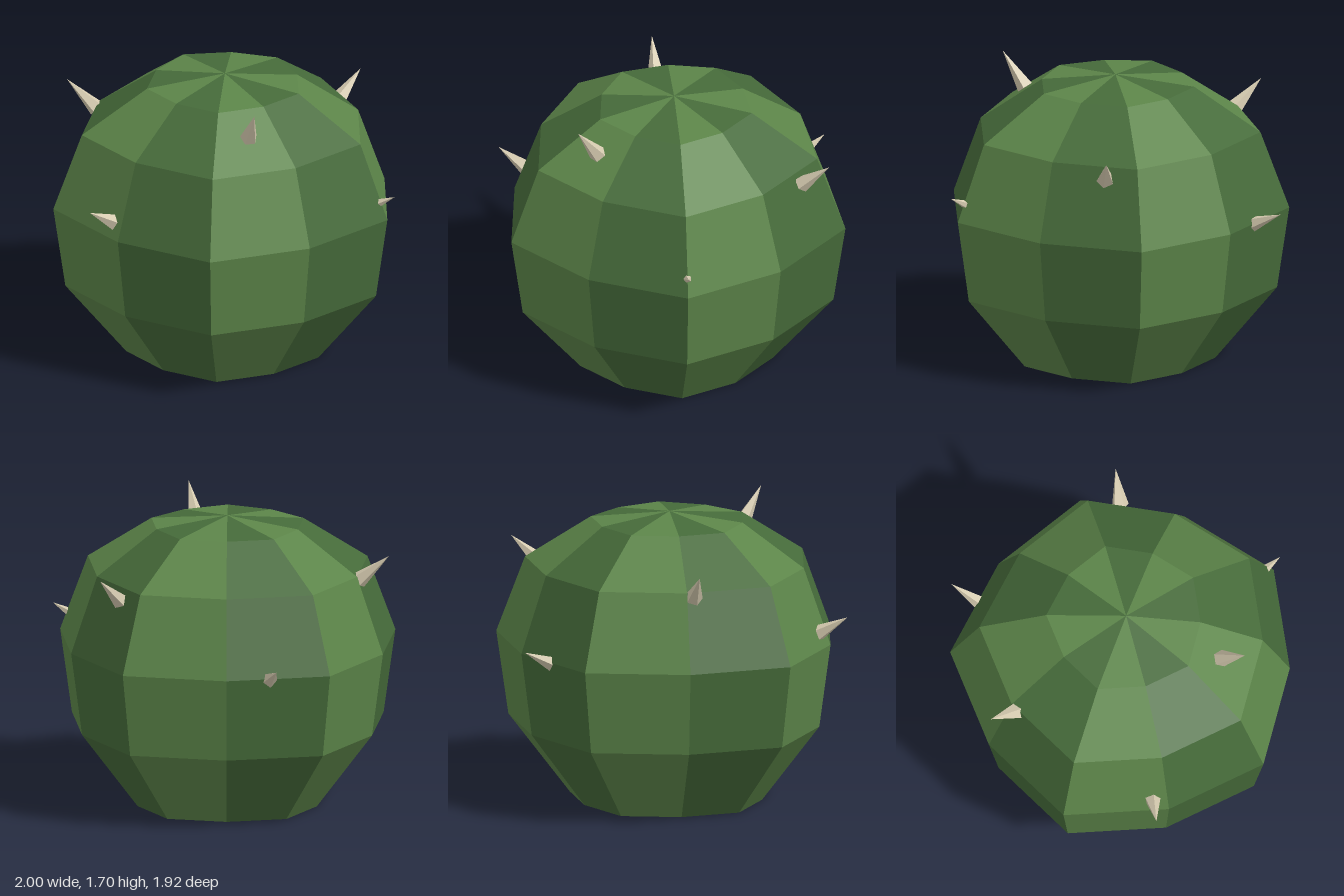
import * as THREE from 'three';

const material = (name, color) => {
  const m = new THREE.MeshStandardMaterial({ color, flatShading: true });
  m.name = name;
  return m;
};

// Ribbed body: ten-sided lathe whose alternate corners are pulled inwards
function createBody(lightGreen, darkGreen) {
  const profile = [
    [0, 0], [0.575, 0], [0.93, 0.44], [1, 0.92], [0.834, 1.36], [0.454, 1.61], [0, 1.66],
  ].map(([r, y]) => new THREE.Vector2(r, y));
  const sides = 10;
  const geometry = new THREE.LatheGeometry(profile, sides, Math.PI / 2);
  const pos = geometry.attributes.position;
  for (let i = 0; i < pos.count; i++) {
    const corner = Math.floor(i / profile.length);
    const k = corner % 2 ? 0.93 : 1;
    pos.setXYZ(i, pos.getX(i) * k, pos.getY(i), pos.getZ(i) * k);
  }
  // Stripes alternate by sector; the underside is one colour
  const perSector = 6 * (profile.length - 1);
  for (let s = 0; s < sides; s++) {
    geometry.addGroup(s * perSector, 6, 1);
    geometry.addGroup(s * perSector + 6, perSector - 6, s % 2);
  }
  const body = new THREE.Mesh(geometry, [lightGreen, darkGreen]);
  body.name = 'body';
  body.position.x = -0.05;
  return body;
}

// Spine: small five-sided cone running from base to tip
function createSpine(base, tip, mat) {
  const from = new THREE.Vector3(...base);
  const to = new THREE.Vector3(...tip);
  const dir = to.clone().sub(from);
  const spine = new THREE.Mesh(new THREE.ConeGeometry(0.05, dir.length(), 5), mat);
  spine.position.copy(from).add(to).multiplyScalar(0.5);
  spine.quaternion.setFromUnitVectors(new THREE.Vector3(0, 1, 0), dir.normalize());
  spine.name = 'spine';
  return spine;
}

export function createModel() {
  const group = new THREE.Group();
  group.name = 'cactus';
  const lightGreen = material('lightGreen', 0x5c8549);
  const darkGreen = material('darkGreen', 0x466b3a);
  const bone = material('bone', 0xd6cbb0);

  group.add(createBody(lightGreen, darkGreen));

  const spines = [
    [[0.29, 1.5, 0.46], [0.375, 1.695, 0.58]],
    [[-0.82, 1.33, 0.04], [-1, 1.485, 0.05]],
    [[-0.395, 1, 0.8], [-0.475, 1.11, 0.965]],
    [[0.8, 0.97, 0], [0.995, 1.07, 0]],
    [[0.36, 1.29, -0.69], [0.43, 1.435, -0.845]],
    [[-0.535, 0.9, -0.72], [-0.645, 1, -0.905]],
  ];
  for (const [base, tip] of spines) group.add(createSpine(base, tip, bone));
  return group;
}
